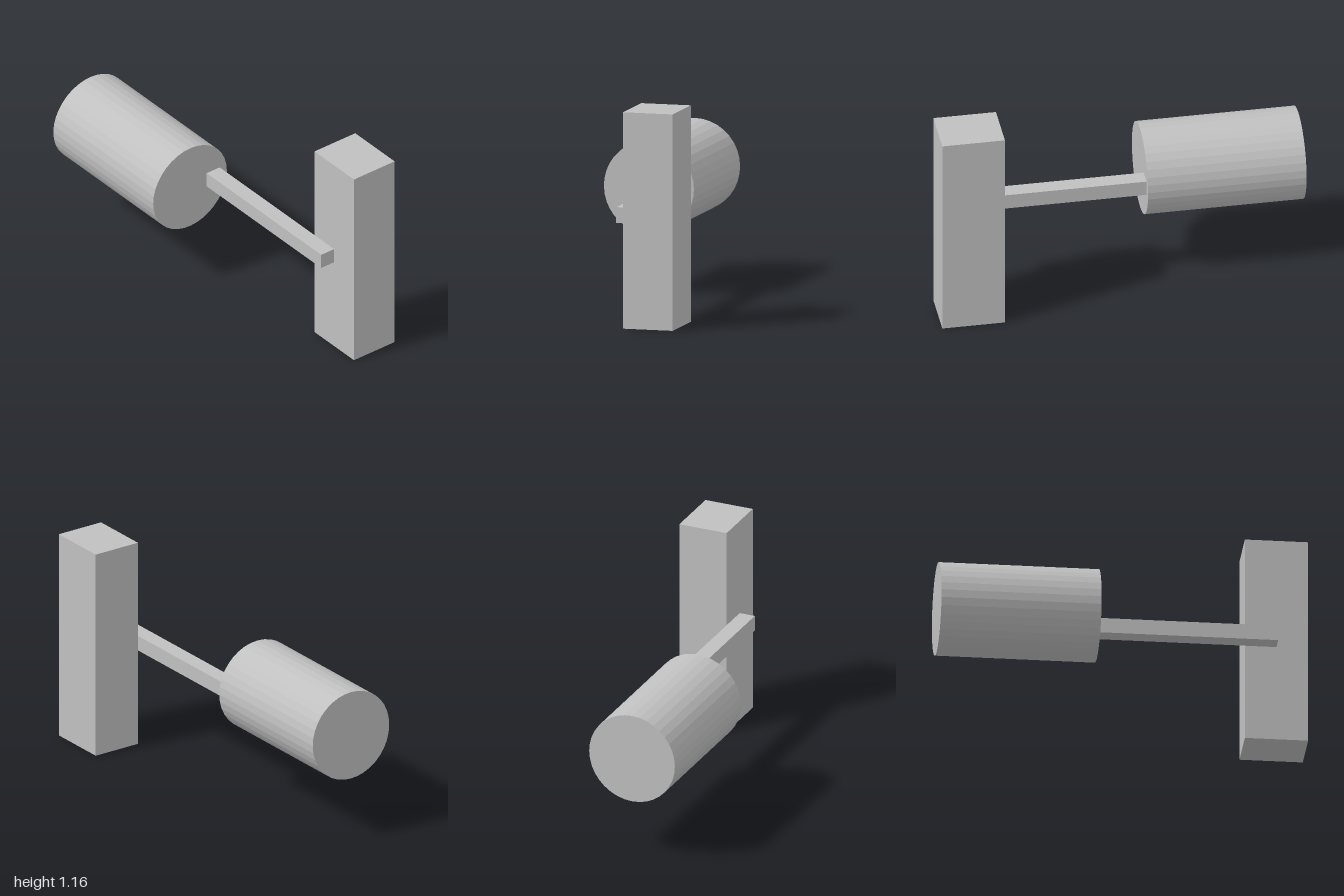
import * as THREE from 'three';

export function createModel() {
  const model = new THREE.Group();
  const grey = new THREE.MeshStandardMaterial({ color: 0xc0c0c0, flatShading: true });
  grey.name = 'light grey';

  const add = (name, geometry, x, y, z) => {
    const mesh = new THREE.Mesh(geometry, grey);
    mesh.name = name;
    mesh.position.set(x, y, z);
    model.add(mesh);
  };

  // Box given by its lower and upper corners
  const addBox = (name, [x0, y0, z0], [x1, y1, z1]) =>
    add(name, new THREE.BoxGeometry(x1 - x0, y1 - y0, z1 - z0),
      (x0 + x1) / 2, (y0 + y1) / 2, (z0 + z1) / 2);

  // Upright post behind the end of the arm
  addBox('post', [0.663, 0, -0.362], [1, 1.16, -0.087]);

  // Square arm from the drum's end face to the post's front face
  addBox('arm', [-0.147, 0.539, -0.087], [0.831, 0.623, 0.001]);

  // Drum lying along x, its axis in front of the arm
  const drum = new THREE.CylinderGeometry(0.249, 0.249, 0.853, 36);
  drum.rotateZ(Math.PI / 2);
  add('drum', drum, -0.5735, 0.581, 0.113);

  return model;
}
